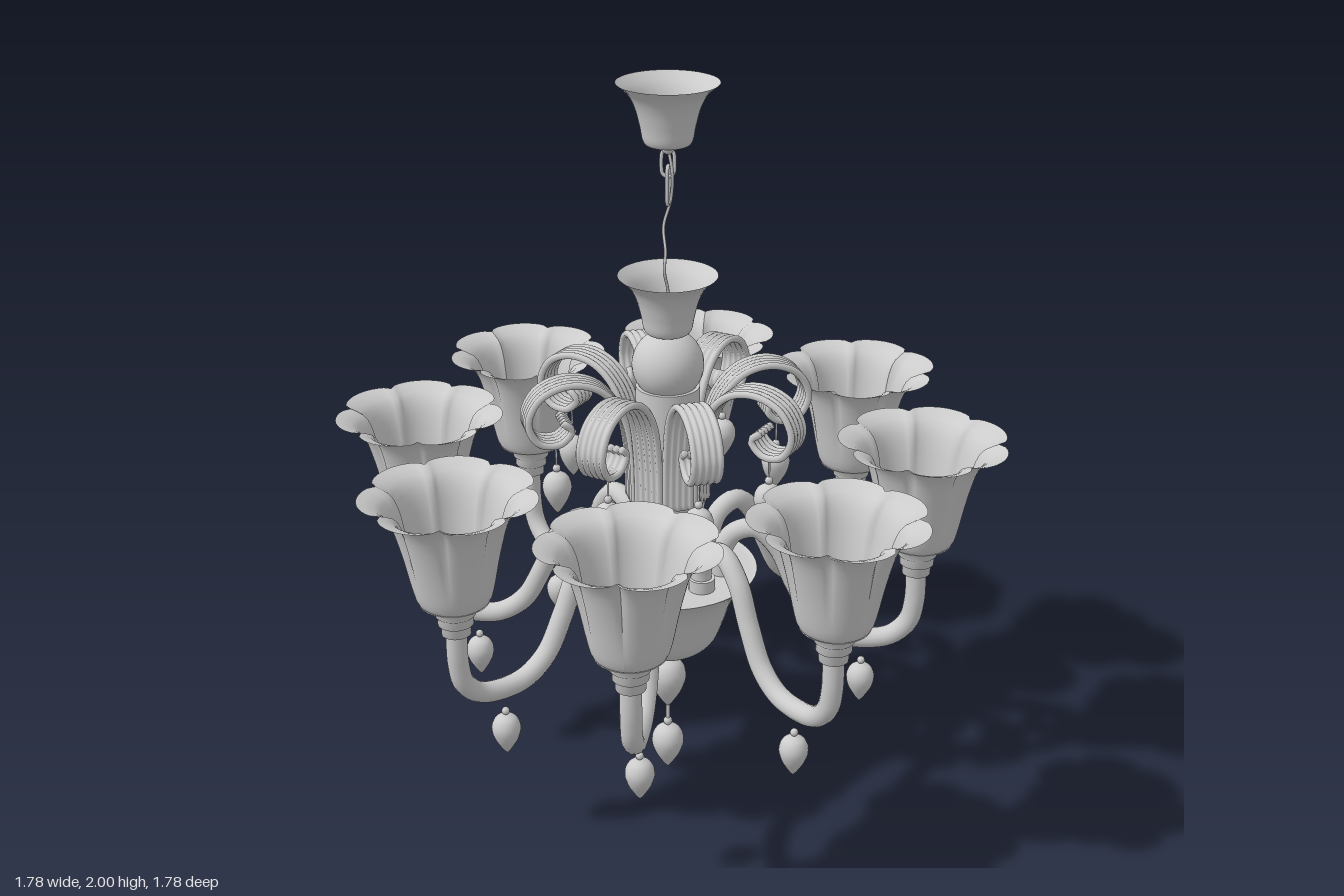
import * as THREE from 'three';

const mat = new THREE.MeshStandardMaterial({ color: 0xcccccc, side: THREE.DoubleSide });

function mesh(name, geo, x = 0, y = 0, z = 0) {
  const m = new THREE.Mesh(geo, mat);
  m.name = name;
  m.position.set(x, y, z);
  return m;
}

// smooth lathe through [radius, height] points
function lathe(pts, smooth = 0, seg = 40) {
  let p = pts.map(([r, y]) => new THREE.Vector2(r, y));
  if (smooth) p = new THREE.SplineCurve(p).getPoints(smooth).map(v => v.set(Math.max(0, v.x), v.y));
  return new THREE.LatheGeometry(p, seg);
}

function tube(pts, radius, seg, sides = 14) {
  const curve = new THREE.CatmullRomCurve3(pts.map(([x, y, z = 0]) => new THREE.Vector3(x, y, z)));
  return new THREE.TubeGeometry(curve, seg, radius, sides);
}

// bud-shaped pendant whose tip touches y = 0
function pendant(name, x, y, scale = 1) {
  const g = new THREE.Group();
  g.name = name;
  g.add(mesh('pendantBud', lathe([[0, 0], [0.012, 0.015], [0.032, 0.05], [0.039, 0.082], [0.03, 0.108], [0.012, 0.12], [0, 0.122]], 24, 20)));
  g.add(mesh('pendantBead', new THREE.SphereGeometry(0.011, 12, 8), 0, 0.132, 0));
  g.position.set(x, y, 0);
  g.scale.setScalar(scale);
  return g;
}

// bell shade whose rim opens into seven petals
function shadeGeometry() {
  const geo = lathe([[0.045, 0.775], [0.075, 0.778], [0.094, 0.795], [0.106, 0.84], [0.118, 0.9],
    [0.132, 0.96], [0.15, 1.02], [0.178, 1.06], [0.226, 1.08]], 18, 84);
  const p = geo.attributes.position;
  for (let i = 0; i < p.count; i++) {
    const t = THREE.MathUtils.clamp((p.getY(i) - 0.82) / 0.26, 0, 1);
    const petal = Math.sqrt(Math.abs(Math.sin(3.5 * Math.atan2(p.getX(i), p.getZ(i)))));
    const k = 1 - 0.15 * t * (1 - petal);
    p.setX(i, p.getX(i) * k);
    p.setZ(i, p.getZ(i) * k);
  }
  geo.computeVertexNormals();
  return geo.rotateY(Math.PI / 2);
}

// ribbed ribbon swept along a curl in the xy plane
function ribbonGeometry() {
  const curve = new THREE.SplineCurve([[0.1, 0.88], [0.105, 1.02], [0.13, 1.14], [0.19, 1.215], [0.27, 1.237],
    [0.345, 1.21], [0.38, 1.145], [0.355, 1.085], [0.3, 1.075], [0.265, 1.11], [0.29, 1.135]]
    .map(a => new THREE.Vector2(...a)));
  const ribs = 5, half = 0.042, section = [];
  for (let i = 0; i <= ribs * 4; i++) {
    const u = i / (ribs * 4);
    section.push([(u * 2 - 1) * half, 0.004 + 0.006 * Math.abs(Math.sin(u * ribs * Math.PI))]);
  }
  section.push(...section.map(([w, h]) => [w, -h]).reverse());
  const n = section.length, rows = 60, pos = [], idx = [];
  for (let j = 0; j <= rows; j++) {
    const c = curve.getPointAt(j / rows), t = curve.getTangentAt(j / rows);
    for (const [w, h] of section) pos.push(c.x - t.y * h, c.y + t.x * h, w);
    if (j === rows) break;
    for (let i = 0; i < n; i++) {
      const a = j * n + i, b = j * n + (i + 1) % n;
      idx.push(a, b, a + n, b, b + n, a + n);
    }
  }
  // end caps
  for (let i = 0; i < n / 2 - 1; i++) {
    const a = i, b = i + 1, c = n - 2 - i, d = n - 1 - i, e = rows * n;
    idx.push(a, d, c, a, c, b, e + a, e + b, e + c, e + a, e + c, e + d);
  }
  const geo = new THREE.BufferGeometry();
  geo.setAttribute('position', new THREE.Float32BufferAttribute(pos, 3));
  geo.setIndex(idx);
  geo.computeVertexNormals();
  return geo;
}

// arm along +x with its socket, shade, bulb and pendant
function lampArm() {
  const g = new THREE.Group();
  g.name = 'lampArm';
  g.add(mesh('armTube', tube([[0.15, 0.65], [0.15, 0.72], [0.18, 0.775], [0.24, 0.793], [0.3, 0.74], [0.35, 0.63],
    [0.405, 0.53], [0.47, 0.483], [0.54, 0.474], [0.615, 0.49], [0.66, 0.535], [0.675, 0.6], [0.675, 0.71]], 0.028, 70)));
  g.add(mesh('armCollar', new THREE.CylinderGeometry(0.036, 0.036, 0.035, 20), 0.15, 0.672));
  g.add(mesh('socket', lathe([[0.028, 0.685], [0.038, 0.69], [0.038, 0.715], [0.046, 0.72], [0.046, 0.742],
    [0.052, 0.747], [0.054, 0.778], [0.09, 0.785], [0, 0.79]], 0, 28), 0.675));
  g.add(mesh('shade', shadeGeometry(), 0.675));
  g.add(mesh('bulb', new THREE.SphereGeometry(0.064, 24, 16), 0.675, 0.87));
  g.add(pendant('armPendant', 0.54, 0.27));
  return g;
}

// curled ribbon along +x with a pendant below the curl
function curledLeaf() {
  const g = new THREE.Group();
  g.name = 'curledLeaf';
  g.add(mesh('ribbon', ribbonGeometry()));
  g.add(pendant('leafPendant', 0.303, 0.862));
  g.add(mesh('pendantHook', tube([[0.303, 0.985], [0.303, 1.03], [0.303, 1.075]], 0.003, 4, 6)));
  return g;
}

function link(y, height, turn) {
  const r = 0.016, h = height / 2 - r, pts = [];
  for (let i = 0; i < 16; i++) {
    const a = (i + 0.5) * Math.PI / 8;
    pts.push(new THREE.Vector3(r * Math.cos(a), r * Math.sin(a) + Math.sign(Math.sin(a)) * h, 0));
  }
  const m = mesh('chainLink', new THREE.TubeGeometry(new THREE.CatmullRomCurve3(pts, true), 40, 0.005, 8, true), 0, y);
  m.rotation.y = turn;
  return m;
}

export function createModel() {
  const root = new THREE.Group();
  root.name = 'chandelier';

  // ceiling canopy and matching cup
  const bell = [[0, 0], [0.045, 0], [0.062, 0.012], [0.07, 0.05], [0.082, 0.095], [0.1, 0.13], [0.13, 0.158]];
  root.add(mesh('canopy', lathe(bell, 30), 0, 1.842));
  root.add(mesh('canopyNut', new THREE.SphereGeometry(0.016, 14, 10), 0, 1.835));
  root.add(mesh('upperCup', lathe(bell, 30), 0, 1.345));

  // chain and loose cable
  root.add(link(1.797, 0.07, 0));
  root.add(link(1.74, 0.1, Math.PI / 2));
  root.add(mesh('cable', tube([[0, 1.84], [0.012, 1.77, 0.006], [0.006, 1.7, -0.012], [-0.012, 1.63, -0.008],
    [-0.004, 1.57, 0.015], [-0.006, 1.52, 0.022], [0, 1.46, 0], [0, 1.35]], 0.004, 50, 8)));

  // centre column, ball and bowl
  root.add(mesh('ball', new THREE.SphereGeometry(0.095, 32, 20), 0, 1.258));
  root.add(mesh('column', new THREE.CylinderGeometry(0.085, 0.085, 0.56, 32), 0, 0.92));
  root.add(mesh('bowl', lathe([[0, 0.4], [0.06, 0.402], [0.1, 0.415], [0.135, 0.45], [0.158, 0.51], [0.178, 0.57], [0.205, 0.62], [0.245, 0.66]], 32, 48)));
  root.add(mesh('bowlPlate', lathe([[0.245, 0.66], [0.225, 0.655], [0, 0.655]], 0, 48)));

  // pendants under the bowl
  root.add(pendant('upperDrop', 0, 0.205, 1.33));
  root.add(pendant('lowerDrop', 0, 0, 1.18));
  root.add(mesh('dropRod', new THREE.CylinderGeometry(0.006, 0.006, 0.3, 8), 0, 0.27));

  // eight arms, with curled leaves between them
  const arm = lampArm(), leaf = curledLeaf();
  for (let i = 0; i < 8; i++) {
    const a = arm.clone(), l = leaf.clone();
    a.rotation.y = i * Math.PI / 4;
    l.rotation.y = (i + 0.5) * Math.PI / 4;
    root.add(a, l);
  }
  return root;
}
